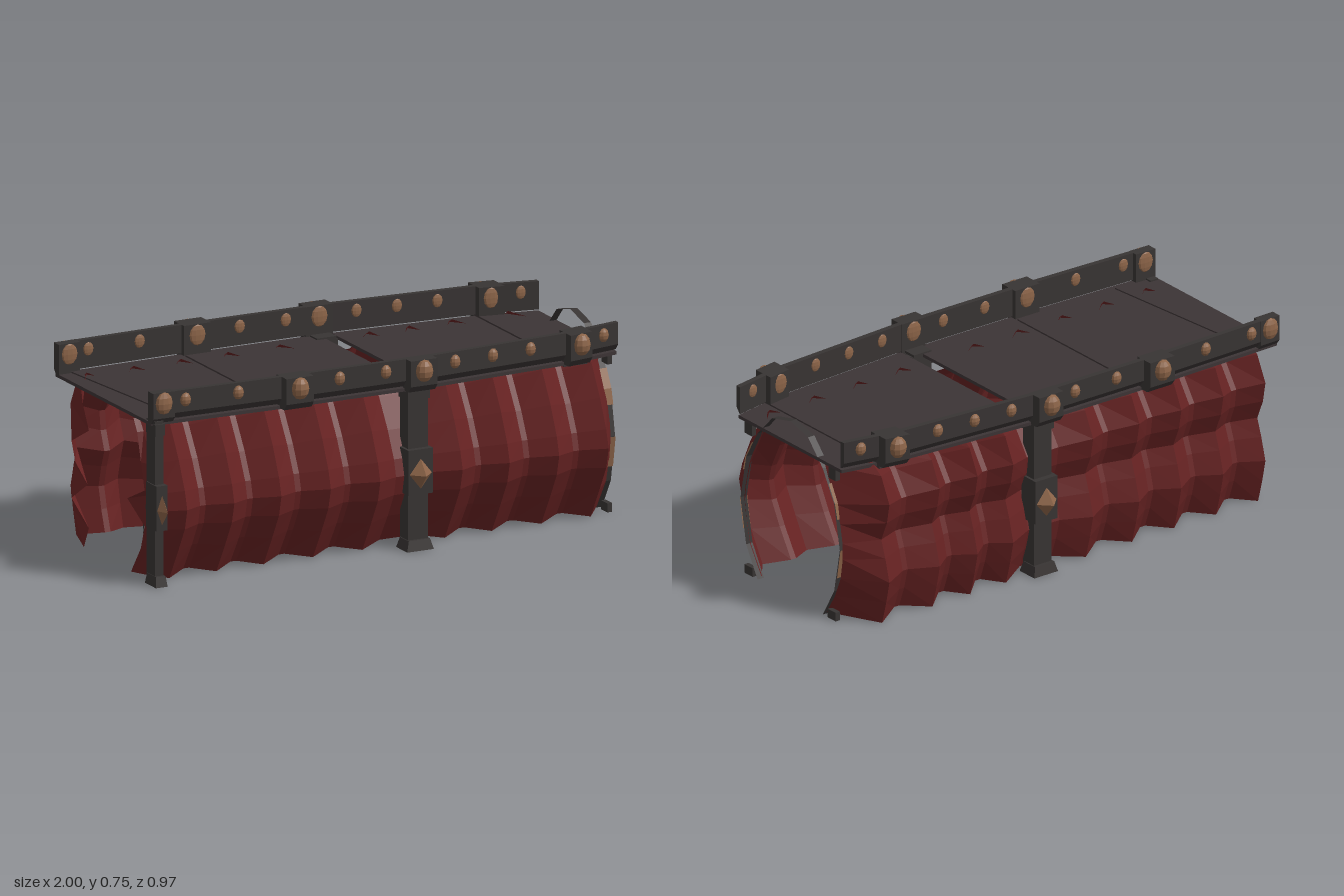
import * as THREE from 'three';

const mat = (name, color) => {
  const m = new THREE.MeshStandardMaterial({ color, side: THREE.DoubleSide, flatShading: true });
  m.name = name;
  return m;
};

// Outer line of the canopy: half depth z at a given x
const LINE = [[-1, 0.39], [-0.45, 0.405], [0.17, 0.405], [0.77, 0.365], [1, 0.32]];
function lineZ(x) {
  for (let i = 1; i < LINE.length; i++) {
    const [x0, z0] = LINE[i - 1], [x1, z1] = LINE[i];
    if (x <= x1) return z0 + (z1 - z0) * (x - x0) / (x1 - x0);
  }
  return LINE[LINE.length - 1][1];
}

// Skin a row of cross-sections; closed ones become capped solids
function loft(sections, closed) {
  const pos = [];
  const tri = (...p) => p.forEach(v => pos.push(...v));
  const n = sections[0].length;
  for (let i = 0; i + 1 < sections.length; i++) {
    const A = sections[i], B = sections[i + 1];
    for (let j = 0; j < (closed ? n : n - 1); j++) {
      const k = (j + 1) % n;
      tri(A[j], B[j], B[k]);
      tri(A[j], B[k], A[k]);
    }
  }
  if (closed) {
    const A = sections[0], B = sections[sections.length - 1];
    for (let j = 1; j + 1 < n; j++) {
      tri(A[0], A[j + 1], A[j]);
      tri(B[0], B[j], B[j + 1]);
    }
  }
  const g = new THREE.BufferGeometry();
  g.setAttribute('position', new THREE.Float32BufferAttribute(pos, 3));
  g.computeVertexNormals();
  return g;
}

export function createModel() {
  const root = new THREE.Group();
  root.name = 'curtainedCanopy';
  const red = mat('curtainRed', 0x662222);
  const iron = mat('darkFrame', 0x383433);
  const slate = mat('roofDark', 0x3c3435);
  const bronze = mat('bronze', 0x8c6448);

  const add = (name, geo, m, x = 0, y = 0, z = 0, parent = root) => {
    const mesh = new THREE.Mesh(geo, m);
    mesh.name = name;
    mesh.position.set(x, y, z);
    parent.add(mesh);
    return mesh;
  };
  const box = (name, m, x0, x1, y0, y1, z0, z1, parent) =>
    add(name, new THREE.BoxGeometry(x1 - x0, y1 - y0, Math.abs(z1 - z0)), m,
      (x0 + x1) / 2, (y0 + y1) / 2, (z0 + z1) / 2, parent);

  // Rail section with a chamfered lower edge, swept along the outer line
  const rail = (name, xs, inset, out, s, y0) => {
    const secs = xs.map(x => {
      const z = lineZ(x);
      const p = [[z - inset, y0], [z + out - 0.02, y0], [z + out, y0 + 0.025],
        [z + out, 0.75], [z - inset, 0.75]].map(([pz, py]) => [x, py, pz * s]);
      return s < 0 ? p.reverse() : p;
    });
    return add(name, loft(secs, true), iron);
  };

  // Roof panels either side of a narrow slot
  const roof = xs => add('roofPanel', loft(xs.map(x => {
    const z = lineZ(x) - 0.004;
    return [[x, 0.621, z], [x, 0.634, z], [x, 0.634, -z], [x, 0.621, -z]];
  }), true), slate);
  roof([-1, -0.45, 0.115]);
  roof([0.17, 0.77, 1]);
  for (const [x0, x1] of [[-0.465, -0.35], [0.755, 0.855]])
    box('roofStrap', slate, x0, x1, 0.615, 0.64, -0.36, 0.36);
  add('roofEndStrap', new THREE.BoxGeometry(0.06, 0.008, 0.74), slate, -0.88, 0.635, 0).rotation.y = 0.1;

  // Pleated curtain profiles: heights, then half depth at peak, valley, far end and hoop end
  const drapes = [
    { s: 1, lean: -0.012, peaks: [-0.89, -0.69, -0.49, -0.28, -0.07, 0.28, 0.48, 0.69, 0.9],
      y: [0, 0.12, 0.22, 0.3, 0.37, 0.48, 0.6, 0.65],
      peak: [0.31, 0.38, 0.435, 0.455, 0.435, 0.385, 0.315, 0.265],
      valley: [0.255, 0.325, 0.375, 0.392, 0.375, 0.325, 0.255, 0.22],
      end: [0.2, 0.28, 0.31, 0.17, 0.31, 0.28, 0.25, 0.22],
      hoop: [0.2, 0.27, 0.292, 0.302, 0.295, 0.268, 0.21, 0.19] },
    { s: -1, lean: 0.012, peaks: [-0.92, -0.72, -0.52, -0.32, -0.1, 0.28, 0.45, 0.63, 0.87],
      y: [0, 0.09, 0.18, 0.27, 0.34, 0.42, 0.5, 0.6, 0.65],
      peak: [0.385, 0.41, 0.43, 0.405, 0.38, 0.415, 0.43, 0.38, 0.3],
      valley: [0.32, 0.35, 0.372, 0.35, 0.325, 0.355, 0.365, 0.3, 0.24],
      end: [0.18, 0.14, 0.28, 0.15, 0.25, 0.28, 0.14, 0.19, 0.2],
      hoop: [0.2, 0.25, 0.285, 0.298, 0.297, 0.283, 0.26, 0.21, 0.19] },
  ];
  for (const d of drapes) {
    const column = (x, prof, low) => d.y.map((y, j) =>
      [x, low ? 0.012 + y * 0.925 : y, d.s * (prof[j] + d.lean * x)]);
    const cols = [column(-0.995, d.end, true)];
    if (d.s > 0) cols.push(column(-0.97, d.valley, true));
    d.peaks.forEach((x, i) => {
      cols.push(column(x, d.peak));
      const next = d.peaks[i + 1];
      if (next === undefined) return;
      const mid = (x + next) / 2, half = next - x > 0.3 ? 0.075 : 0.012;
      cols.push(column(mid - half, d.valley, true), column(mid + half, d.valley, true));
    });
    cols.push(column(0.99, d.hoop, true));
    add(d.s > 0 ? 'frontCurtain' : 'backCurtain', loft(cols, false), red);
  }

  // Posts with flared foot, middle block and faceted boss
  const post = (x, w, s) => {
    const g = new THREE.Group();
    g.name = 'post';
    root.add(g);
    const h = w / 2;
    box('postShaft', iron, x - h * 0.8, x + h * 0.8, 0.03, 0.64, s * 0.335, s * 0.402, g);
    box('postBlock', iron, x - h, x + h, 0.22, 0.395, s * 0.34, s * 0.425, g);
    box('postCollar', iron, x - h * 0.9, x + h * 0.9, 0.585, 0.63, s * 0.335, s * 0.41, g);
    const foot = new THREE.CylinderGeometry(0.8 * Math.SQRT1_2, Math.SQRT1_2, 1, 4).rotateY(Math.PI / 4);
    add('postFoot', foot, iron, x, 0.02, s * 0.378, g).scale.set(w * 1.08, 0.04, 0.09);
    add('postBoss', new THREE.OctahedronGeometry(1), bronze, x, 0.3, s * 0.425, g)
      .scale.set(h * 0.9, 0.058, 0.046);
  };
  post(0.117, 0.104, 1);
  post(0.117, 0.104, -1);
  post(-0.975, 0.046, 1);

  // Long rails, brackets and round studs, front and back
  const stud = (name, x, y, z, r, depth) =>
    add(name, new THREE.SphereGeometry(1, 10, 6), bronze, x, y, z).scale.set(r, r * 1.2, depth);
  for (const s of [1, -1]) {
    rail('rail', [-1, -0.45, 0.17, 0.77, 1], 0.012, 0.01, s, 0.64);
    // Start, end, inner and outer thickness of each bracket
    for (const [a, b, inset, out] of [[-1, -0.91, 0.03, 0.012], [-0.465, -0.35, 0.03, 0.05],
      [0.06, 0.172, 0.014, 0.05], [0.755, 0.855, 0.04, 0.05]]) {
      const mid = (a + b) / 2, z = lineZ(mid);
      rail('bracket', [a, b], inset, out, s, 0.625);
      stud('largeStud', mid, 0.708, s * (z + out), 0.036, a < -0.9 ? 0.018 : 0.03);
      stud('innerLargeStud', mid, 0.708, s * (z - inset), 0.034, 0.008);
    }
    for (const x of [-0.865, -0.645, -0.22, -0.025, 0.27, 0.435, 0.6, 0.93]) {
      stud('smallStud', x, 0.712, s * (lineZ(x) + 0.008), 0.023, 0.018);
      stud('innerSmallStud', x, 0.712, s * (lineZ(x) - 0.012), 0.022, 0.007);
    }
  }

  // Thin hoop framing the open end, with bronze bands on its sides
  const ribbon = (name, pts, m, x0, x1) =>
    add(name, loft([x0, x1].map(x => pts.map(([z, y]) => [x, y, z])), false), m);
  const half = [[0.2, 0], [0.27, 0.12], [0.305, 0.3], [0.27, 0.48], [0.2, 0.6], [0.11, 0.695]];
  const mirrored = half.slice().reverse().map(([z, y]) => [-z, y]);
  ribbon('endHoop', [...half, [0, 0.722], ...mirrored], iron, 0.97, 1);
  for (const s of [1, -1]) {
    ribbon('hoopBand', [[s * 0.29, 0.42], [s * 0.275, 0.48], [s * 0.237, 0.55]], bronze, 0.965, 1);
    ribbon('hoopBand', [[s * 0.288, 0.18], [s * 0.309, 0.3]], bronze, 0.965, 1);
    box('hoopFoot', iron, 0.98, 1, 0, 0.035, s * 0.23, s * 0.28);
    box('hoopClip', iron, 0.98, 1, 0.575, 0.622, s * 0.235, s * 0.28);
  }

  // Torn dark lining at the far end of the front curtain
  add('tornLining', loft([
    [[-0.985, 0.32, 0.32], [-0.985, 0.17, 0.29]],
    [[-0.96, 0.305, 0.235], [-0.96, 0.255, 0.24]],
  ], false), iron);
  return root;
}
